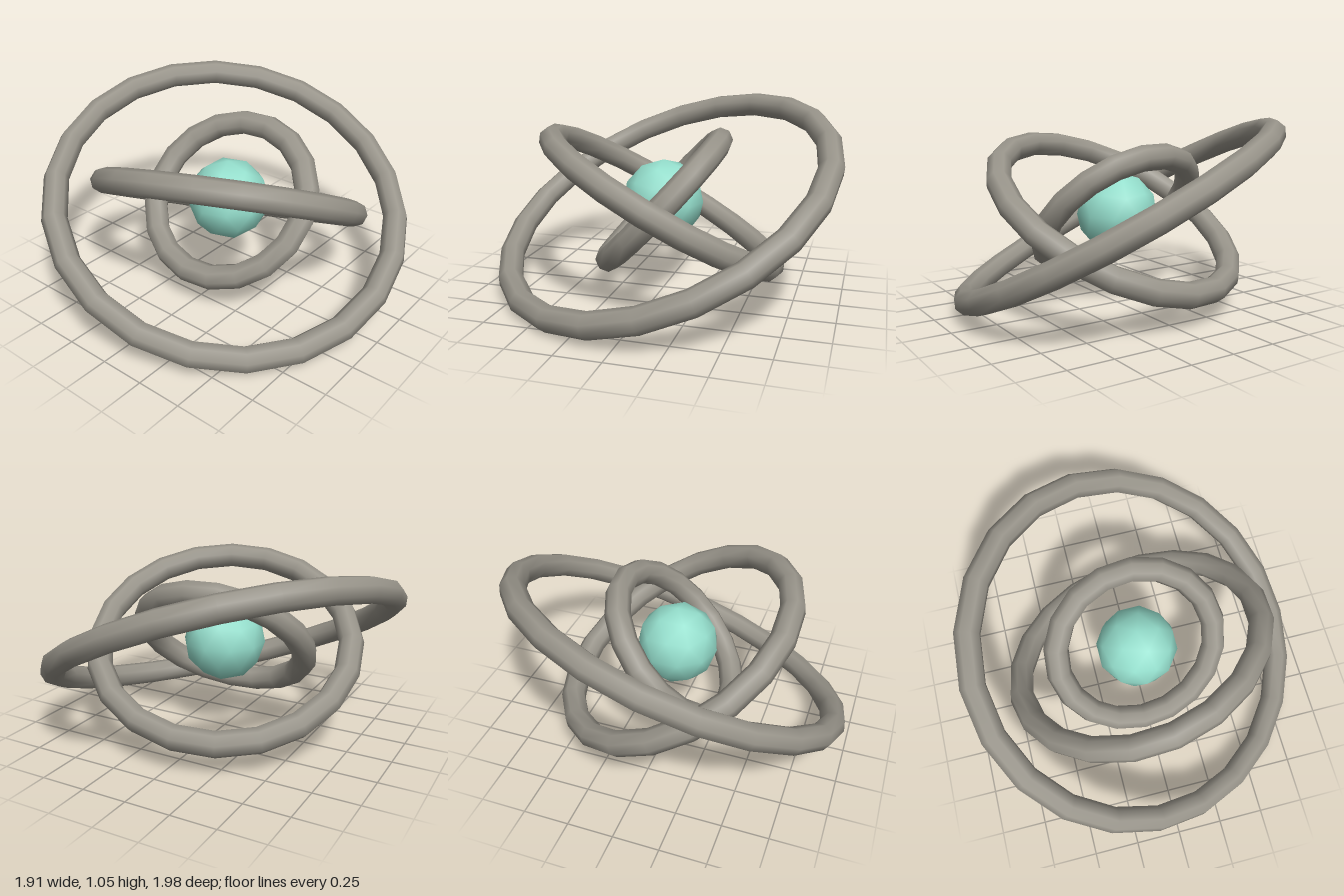
import * as THREE from 'three';

const CENTRE_Y = 0.535;
const TUBE = 0.07;

export function createModel() {
  const model = new THREE.Group();
  model.name = 'orbitModel';

  const ringGrey = new THREE.MeshStandardMaterial({ color: 0x98948a });
  ringGrey.name = 'ringGrey';
  const coreTeal = new THREE.MeshStandardMaterial({ color: 0x95dfcd });
  coreTeal.name = 'coreTeal';

  // Central ball: smooth low-poly icosphere with one corner pointing up
  const ball = new THREE.IcosahedronGeometry(0.23, 1);
  ball.rotateX(-Math.atan((1 + Math.sqrt(5)) / 2));
  ball.rotateY(Math.PI / 2);
  const core = new THREE.Mesh(ball, coreTeal);
  core.name = 'core';
  core.position.y = CENTRE_Y;
  model.add(core);

  // Tilted rings: radius, segments, axis direction, starting turn in segments
  const rings = [
    ['innerRing', 0.462, 18, [0.09, 0.68, 0.73], 0],
    ['middleRing', 0.71, 20, [-0.2, 0.86, -0.46], 0.5],
    ['outerRing', 0.965, 22, [0.386, 0.876, 0.285], 0],
  ];
  for (const [name, radius, segments, axis, turn] of rings) {
    const geometry = new THREE.TorusGeometry(radius, TUBE, 8, segments);
    geometry.rotateZ((turn * 2 * Math.PI) / segments);

    // The ring's own x axis is the part of world z lying in its plane
    const n = new THREE.Vector3(...axis).normalize();
    const u = new THREE.Vector3(0, 0, 1).projectOnPlane(n).normalize();
    const v = new THREE.Vector3().crossVectors(n, u);

    const ring = new THREE.Mesh(geometry, ringGrey);
    ring.name = name;
    ring.quaternion.setFromRotationMatrix(new THREE.Matrix4().makeBasis(u, v, n));
    ring.position.y = CENTRE_Y;
    model.add(ring);
  }

  return model;
}
